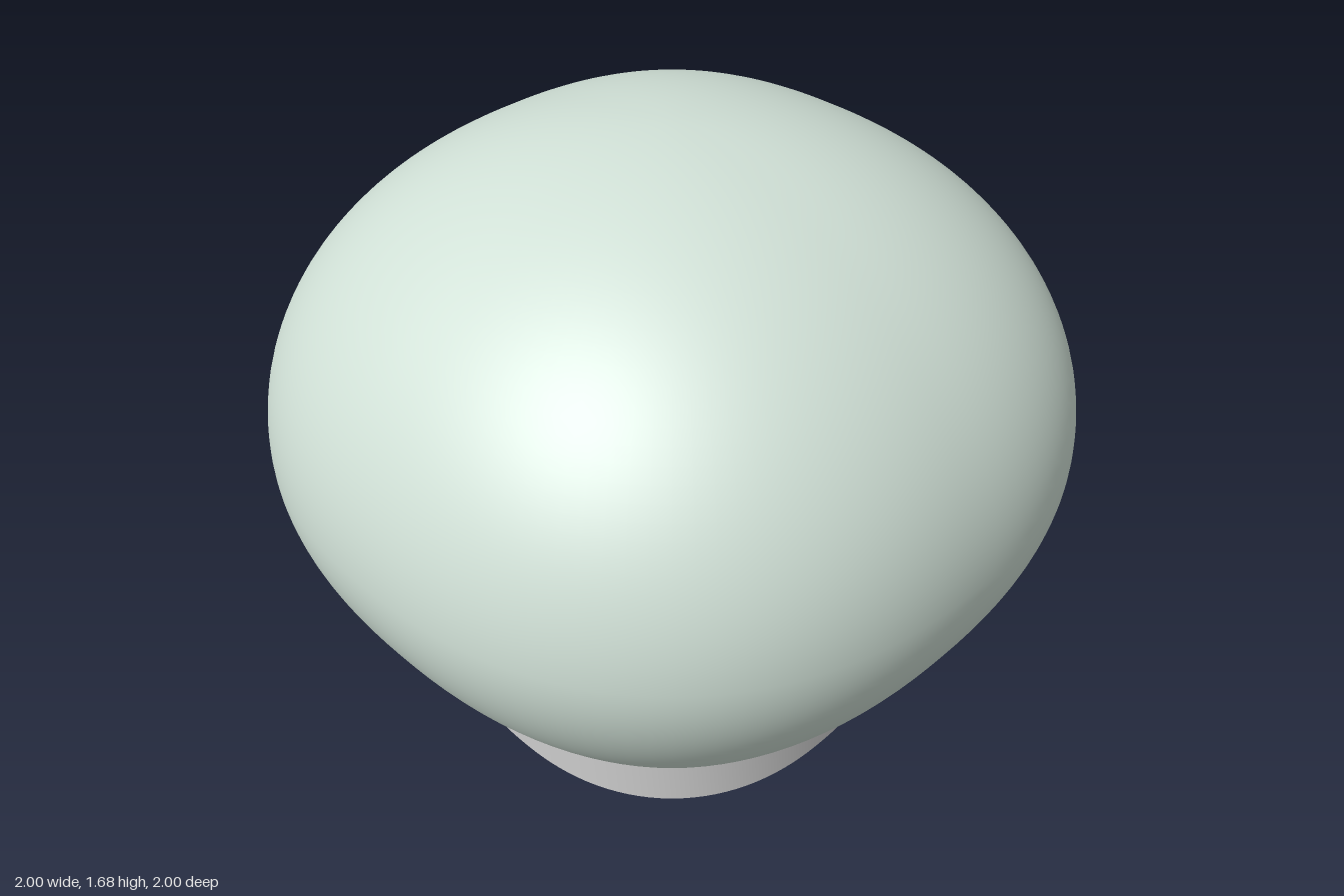
import * as THREE from 'three';
import { mergeVertices } from 'three/addons/utils/BufferGeometryUtils.js';

const SQUARENESS = 2.3; // superellipse exponent of every horizontal section

// Lathe a profile, then swell its round sections into soft squares.
function softSquareLathe(points) {
  let geometry = new THREE.LatheGeometry(points, 128);
  const pos = geometry.attributes.position;
  for (let i = 0; i < pos.count; i++) {
    const x = pos.getX(i), z = pos.getZ(i), r = Math.hypot(x, z);
    if (r < 1e-6) continue;
    const k = Math.pow(
      Math.pow(Math.abs(x / r), SQUARENESS) + Math.pow(Math.abs(z / r), SQUARENESS),
      -1 / SQUARENESS);
    pos.setX(i, x * k);
    pos.setZ(i, z * k);
  }
  // weld the seam so the normals stay smooth
  geometry.deleteAttribute('uv');
  geometry.deleteAttribute('normal');
  geometry = mergeVertices(geometry, 1e-5);
  geometry.computeVertexNormals();
  return geometry;
}

function addPart(group, name, points, color) {
  const material = new THREE.MeshStandardMaterial({ color, side: THREE.DoubleSide });
  const mesh = new THREE.Mesh(softSquareLathe(points), material);
  mesh.name = name;
  group.add(mesh);
}

export function createModel() {
  const group = new THREE.Group();
  group.name = 'globeShade';

  const neckRadius = 0.585, neckTop = 0.135, middle = 0.86, top = 1.68;

  // Globe: flared lower curve up to the widest point, then an elliptical dome
  const lower = new THREE.CubicBezierCurve(
    new THREE.Vector2(neckRadius, neckTop),
    new THREE.Vector2(0.8, 0.38),
    new THREE.Vector2(1, 0.6),
    new THREE.Vector2(1, middle));
  const profile = lower.getPoints(28);
  for (let i = 1; i <= 36; i++) {
    const a = (i / 36) * Math.PI / 2;
    profile.push(new THREE.Vector2(
      i === 36 ? 0 : Math.cos(a), middle + (top - middle) * Math.sin(a)));
  }
  addPart(group, 'globe', profile, 0xd0e0d6);

  // Open collar under the globe
  addPart(group, 'collar', [
    new THREE.Vector2(neckRadius, 0),
    new THREE.Vector2(neckRadius, neckTop),
  ], 0xcccccc);

  return group;
}
